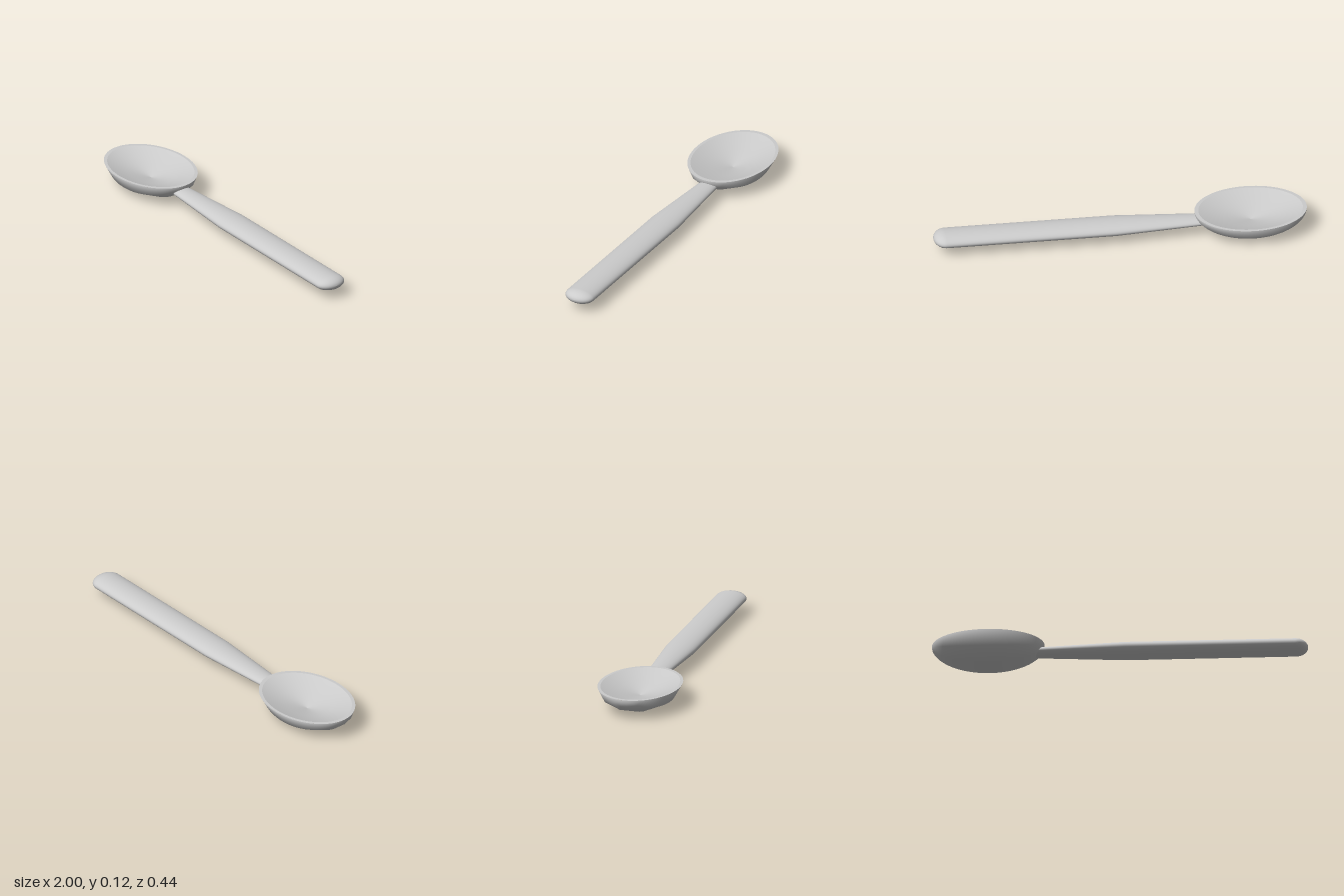
import * as THREE from 'three';

const material = new THREE.MeshStandardMaterial({ color: 0xcccccc });
const RIM_Y = 0.12, RX = 0.3, RZ = 0.22, INNER = 0.93;

function part(name, geometry) {
  const mesh = new THREE.Mesh(geometry, material);
  mesh.name = name;
  return mesh;
}

function createBowl() {
  const bowl = new THREE.Group();
  bowl.name = 'bowl';

  // Outer shell: half an ellipsoid with its poles along x and five coarse sides
  const shell = new THREE.SphereGeometry(1, 5, 48, 0, Math.PI);
  shell.rotateX(Math.PI / 2).rotateY(Math.PI / 2);
  shell.scale(RX, RIM_Y / Math.sin(Math.PI * 0.4), RZ).translate(0, RIM_Y, 0);

  // Flat lip around the edge
  const rim = new THREE.RingGeometry(INNER, 1, 64);
  rim.rotateX(-Math.PI / 2).scale(RX, 1, RZ).translate(0, RIM_Y, 0);

  // Shallow hollow, running from the lip down to the middle
  const profile = [[INNER, RIM_Y], [0.5, 0.082], [0, 0.055]].map(p => new THREE.Vector2(...p));
  const hollow = new THREE.LatheGeometry(profile, 64);
  hollow.scale(RX, 1, RZ);

  bowl.add(part('bowlShell', shell), part('bowlRim', rim), part('bowlHollow', hollow));
  bowl.position.x = -0.7;
  return bowl;
}

function createHandle() {
  // Radius along the length: tapered neck, straight grip, rounded tip
  const points = [[0.58, -0.46], [1, 0.03], [1, 0.935]];
  for (let i = 1; i <= 8; i++) {
    const a = (i / 8) * Math.PI / 2;
    points.push([i === 8 ? 0 : Math.cos(a), 0.935 + 0.065 * Math.sin(a)]);
  }
  const geometry = new THREE.LatheGeometry(points.map(p => new THREE.Vector2(...p)), 40);
  geometry.rotateZ(-Math.PI / 2).scale(1, 0.037, 0.084).translate(0, 0.078, -0.006);
  return part('handle', geometry);
}

export function createModel() {
  const spoon = new THREE.Group();
  spoon.name = 'spoon';
  spoon.add(createBowl(), createHandle());
  return spoon;
}
